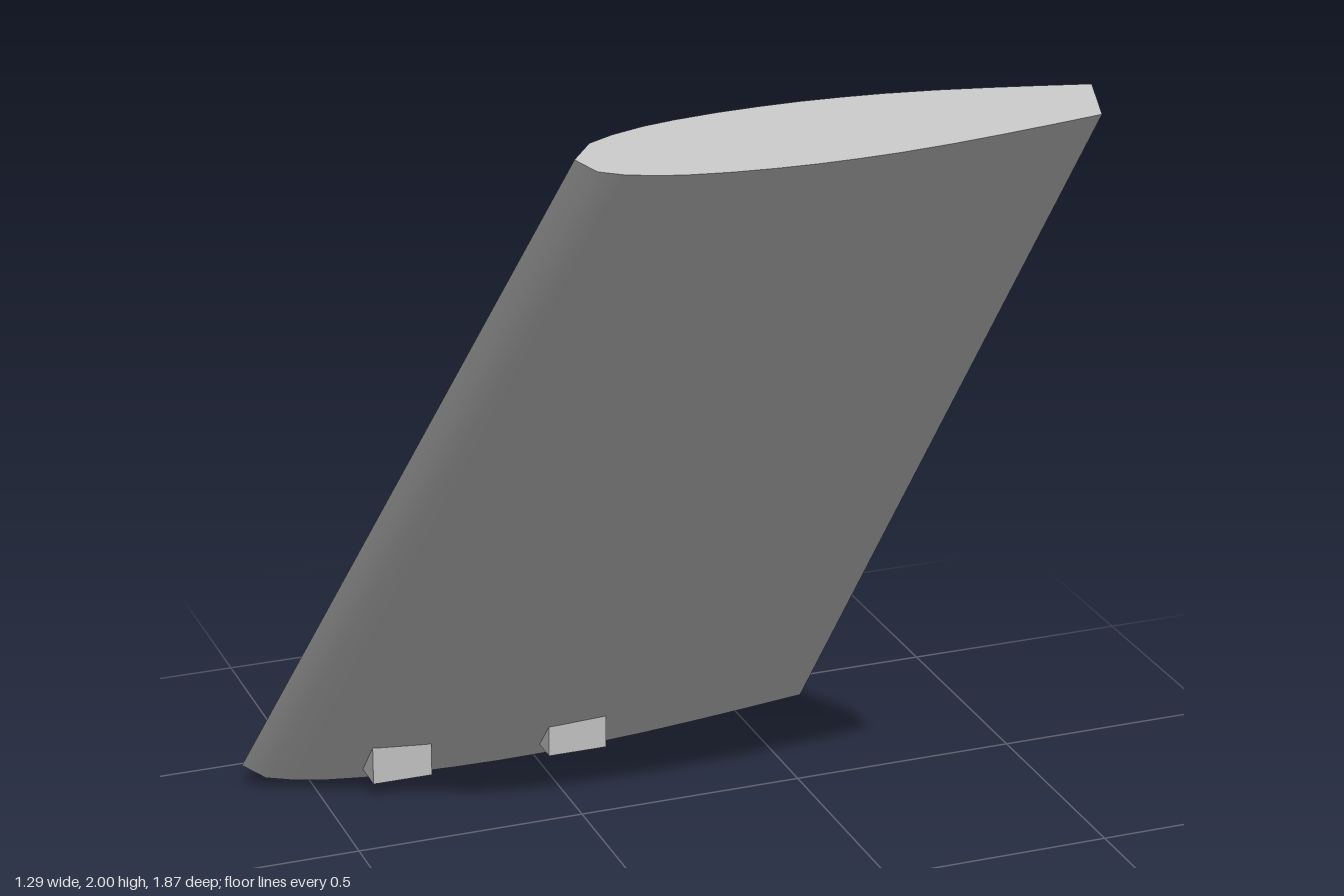
import * as THREE from 'three';
import { mergeGeometries, toCreasedNormals } from 'three/addons/utils/BufferGeometryUtils.js';

// Half thickness of the section along the chord, as [chord fraction, share of maximum]
const PROFILE = [
  [0, 0], [0.035, 0.45], [0.08, 0.63], [0.14, 0.78], [0.2, 0.87], [0.28, 0.945], [0.36, 0.985],
  [0.44, 1], [0.52, 0.985], [0.6, 0.95], [0.7, 0.87], [0.8, 0.76], [0.9, 0.635], [1, 0.5],
];
const TABS = [-0.334, 0.067];        // x of the mounting tabs
const SLOTS = [0.14, 0.502, 0.864];  // span fraction of the trailing edge slots
const BORE_Z = -0.78, BORE_R = 0.015, TAB_BOTTOM = 0.042;

const lerp = THREE.MathUtils.lerp;

// Point of the wing: chord fraction c, span fraction v, offset h along the thickness
function wingPoint(c, v, h) {
  const x = lerp(-0.648, -0.497, v) + c * lerp(1.294, 0.977, v);
  return new THREE.Vector3(x, lerp(0.0563, 1.9574, v) + 0.682 * h, lerp(-0.876, 0.89, v) - 0.731 * h);
}

function halfThickness(c, v) {
  let i = 1;
  while (i < PROFILE.length - 1 && c > PROFILE[i][0]) i++;
  const [c0, t0] = PROFILE[i - 1], [c1, t1] = PROFILE[i];
  return lerp(t0, t1, (c - c0) / (c1 - c0)) * lerp(0.0825, 0.0625, v);
}

const skinPoint = (c, v, side) => wingPoint(c, v, side * halfThickness(c, v));

// Chord and span fractions where the vertical line through x, z meets a skin
function projectToSkin(x, z, side) {
  let c = 0.5, v = 0.05;
  for (let i = 0; i < 25; i++) {
    c = (x - lerp(-0.648, -0.497, v)) / lerp(1.294, 0.977, v);
    v += (z - skinPoint(c, v, side).z) / 1.766;
  }
  return new THREE.Vector2(c, v);
}

function boreOutline(x, side) {
  return Array.from({ length: 16 }, (_, i) => {
    const a = (i / 16) * Math.PI * 2;
    return projectToSkin(x + BORE_R * Math.cos(a), BORE_Z + BORE_R * Math.sin(a), side);
  });
}

// Flat outline with holes, carried into space by a rule
function mappedShape(outline, holes, rule, flip = false) {
  const shape = new THREE.Shape(outline);
  holes.forEach((h) => shape.holes.push(new THREE.Path(h)));
  const geo = new THREE.ShapeGeometry(shape);
  const pos = geo.attributes.position;
  for (let i = 0; i < pos.count; i++) {
    const p = rule(pos.getX(i), pos.getY(i));
    pos.setXYZ(i, p.x, p.y, p.z);
  }
  if (flip) geo.index.array.reverse();
  geo.deleteAttribute('uv');
  geo.computeVertexNormals();
  return geo;
}

// Wall joining two closed loops of points
function band(a, b) {
  const verts = [];
  a.forEach((p, i) => {
    const j = (i + 1) % a.length;
    for (const q of [p, a[j], b[j], p, b[j], b[i]]) verts.push(q.x, q.y, q.z);
  });
  const geo = new THREE.BufferGeometry();
  geo.setAttribute('position', new THREE.Float32BufferAttribute(verts, 3));
  geo.computeVertexNormals();
  return geo;
}

const rect = (x0, y0, x1, y1) =>
  [[x0, y0], [x1, y0], [x1, y1], [x0, y1]].map((p) => new THREE.Vector2(...p));

export function createModel() {
  const group = new THREE.Group();
  const grey = new THREE.MeshStandardMaterial({ color: 0xc0c0c0, side: THREE.DoubleSide });
  grey.name = 'light grey';
  const add = (geo, name) => {
    const mesh = new THREE.Mesh(geo, grey);
    mesh.name = name;
    group.add(mesh);
  };

  // Upper and lower skins, strip by strip, pierced by the bores
  for (const side of [1, -1]) {
    const bores = TABS.map((x) => boreOutline(x, side));
    const strips = [];
    for (let i = 1; i < PROFILE.length; i++) {
      const c0 = PROFILE[i - 1][0], c1 = PROFILE[i][0];
      const holes = bores.filter((b) => b[0].x > c0 && b[0].x < c1);
      strips.push(mappedShape(rect(c0, 0, c1, 1), holes, (c, v) => skinPoint(c, v, side), side > 0));
    }
    add(toCreasedNormals(mergeGeometries(strips), Math.PI / 6), side > 0 ? 'upperSkin' : 'lowerSkin');
  }

  // End caps
  for (const v of [0, 1]) {
    const edge = (s) => PROFILE.map(([c]) => new THREE.Vector2(c, s * halfThickness(c, v)));
    const outline = [...edge(-1), ...edge(1).slice(1).reverse()];
    add(mappedShape(outline, [], (c, h) => wingPoint(c, v, h), v === 0), v ? 'tipCap' : 'rootCap');
  }

  // Flat trailing edge with three recessed slots
  const t0 = halfThickness(1, 0), t1 = halfThickness(1, 1);
  const edgeOutline = [[-t0, 0], [t0, 0], [t1, 1], [-t1, 1]].map((p) => new THREE.Vector2(...p));
  const slots = SLOTS.map((v) => rect(-0.011, v - 0.021, 0.011, v + 0.021));
  add(mappedShape(edgeOutline, slots, (h, v) => wingPoint(1, v, h)), 'trailingEdge');
  for (const slot of slots) {
    const inner = (h, v) => wingPoint(1, v, h).add(new THREE.Vector3(-0.06, 0, 0));
    const walls = band(slot.map((p) => wingPoint(1, p.y, p.x)), slot.map((p) => inner(p.x, p.y)));
    add(walls, 'slotWalls');
    add(mappedShape(slot, [], inner), 'slotFloor');
  }

  // Mounting tabs under the root, each with a vertical bore through the wing
  for (const x of TABS) {
    const shape = new THREE.Shape(rect(x - 0.066, 0.715, x + 0.066, 0.84));
    shape.holes.push(new THREE.Path().absarc(x, -BORE_Z, BORE_R, 0, Math.PI * 2, true));
    const tab = new THREE.ExtrudeGeometry(shape, { depth: 0.11, bevelEnabled: false, curveSegments: 16 });
    tab.rotateX(-Math.PI / 2).translate(0, TAB_BOTTOM, 0);
    add(tab, 'mountingTab');

    const top = boreOutline(x, 1).map((p) => skinPoint(p.x, p.y, 1));
    const bottom = boreOutline(x, -1).map((p) => {
      const q = skinPoint(p.x, p.y, -1);
      q.y = Math.min(q.y, TAB_BOTTOM);
      return q;
    });
    add(band(top, bottom), 'boreWall');
  }
  return group;
}
